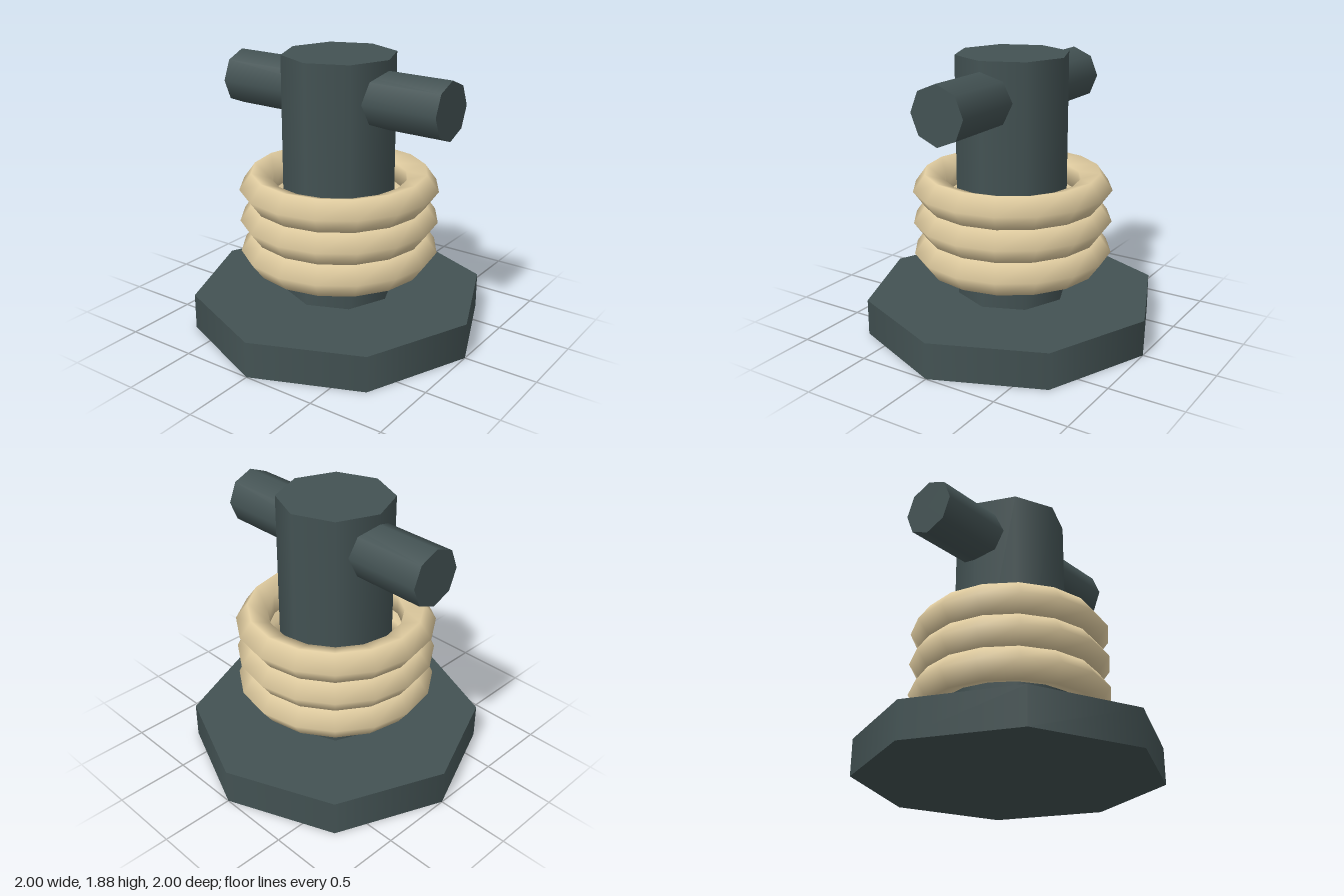
import * as THREE from 'three';

export function createModel() {
  const group = new THREE.Group();
  const iron = new THREE.MeshStandardMaterial({ color: 0x435253 });
  const rope = new THREE.MeshStandardMaterial({ color: 0xe0cca0 });

  const add = (name, geometry, material, y) => {
    const mesh = new THREE.Mesh(geometry, material);
    mesh.name = name;
    mesh.position.y = y;
    group.add(mesh);
    return mesh;
  };

  // Eight-sided upright cylinder spanning bottom to top
  const drum = (name, radius, bottom, top) =>
    add(name, new THREE.CylinderGeometry(radius, radius, top - bottom, 8), iron, (bottom + top) / 2);

  drum('base', 1, 0, 0.245);
  drum('post', 0.378, 0.245, 1.88);

  // Horizontal bar running through the post
  const bar = new THREE.CylinderGeometry(0.19, 0.19, 1.65, 8).rotateZ(Math.PI / 2);
  add('crossbar', bar, iron, 1.623);

  // Stacked rope loops, loose around the post
  const loop = new THREE.TorusGeometry(0.553, 0.117, 5, 16).rotateX(Math.PI / 2);
  for (let i = 0; i < 3; i++) add(`ropeLoop${i + 1}`, loop, rope, 0.555 + i * 0.217);

  return group;
}
